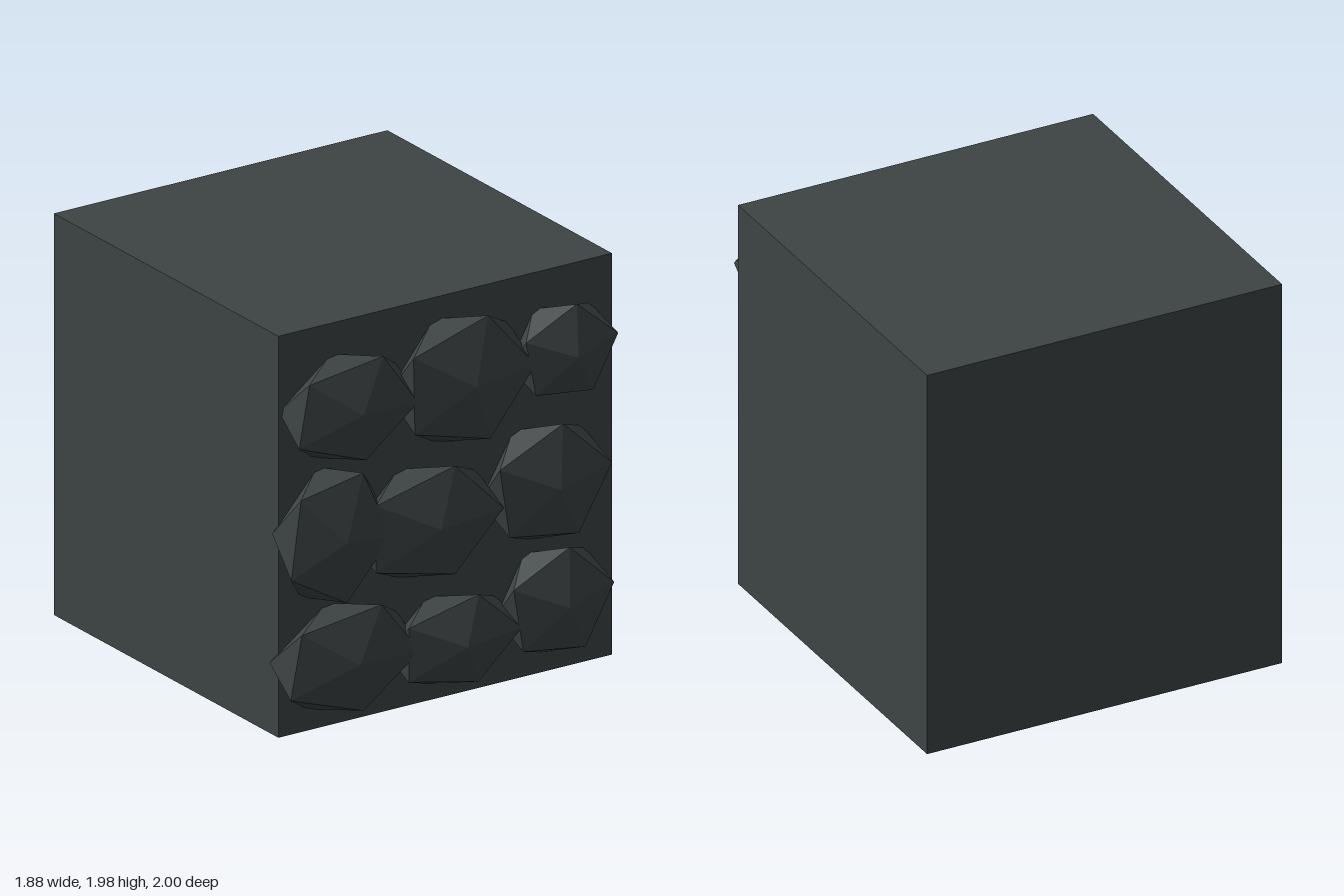
import * as THREE from 'three';

const darkStone = new THREE.MeshStandardMaterial({ color: 0x3d4343 });

// Stones on the front face: centre x, centre y, half width, half height, turn in degrees
const STONES = [
  [-0.54, 1.56, 0.35, 0.26, -8], [0.085, 1.56, 0.37, 0.32, 1], [0.645, 1.58, 0.27, 0.235, 10],
  [-0.63, 0.95, 0.295, 0.33, -9], [-0.11, 0.9, 0.39, 0.28, 0], [0.55, 0.95, 0.33, 0.295, 8],
  [-0.56, 0.335, 0.38, 0.265, -8], [0.035, 0.29, 0.345, 0.225, 0], [0.597, 0.358, 0.295, 0.27, 9],
];
const STONE_DEPTH = 0.127;
const RING = 2 / Math.sqrt(5); // radius of the corner ring on a unit icosahedron

// Flattened icosahedron with one corner pointing to the front
function makeStone([x, y, halfWidth, halfHeight, turn]) {
  const geometry = new THREE.IcosahedronGeometry(1, 0);
  geometry.rotateX(Math.atan(2 / (1 + Math.sqrt(5))));
  geometry.rotateZ(Math.PI / 2 + THREE.MathUtils.degToRad(turn));
  geometry.scale(halfWidth / RING, halfHeight / RING, STONE_DEPTH);
  const stone = new THREE.Mesh(geometry, darkStone);
  stone.position.set(x, y, 1 - STONE_DEPTH);
  return stone;
}

export function createModel() {
  const model = new THREE.Group();
  model.name = 'stoneWallBlock';

  // Plain block behind the stones
  const block = new THREE.Mesh(new THREE.BoxGeometry(1.84, 1.975, 1.835), darkStone);
  block.name = 'block';
  block.position.set(0.02, 0.9875, -0.0825);
  model.add(block);

  // Three rows of three stones set into the front
  const stones = new THREE.Group();
  stones.name = 'frontStones';
  STONES.forEach((spec, i) => {
    const stone = makeStone(spec);
    stone.name = `stoneRow${Math.floor(i / 3) + 1}Column${(i % 3) + 1}`;
    stones.add(stone);
  });
  model.add(stones);

  return model;
}
